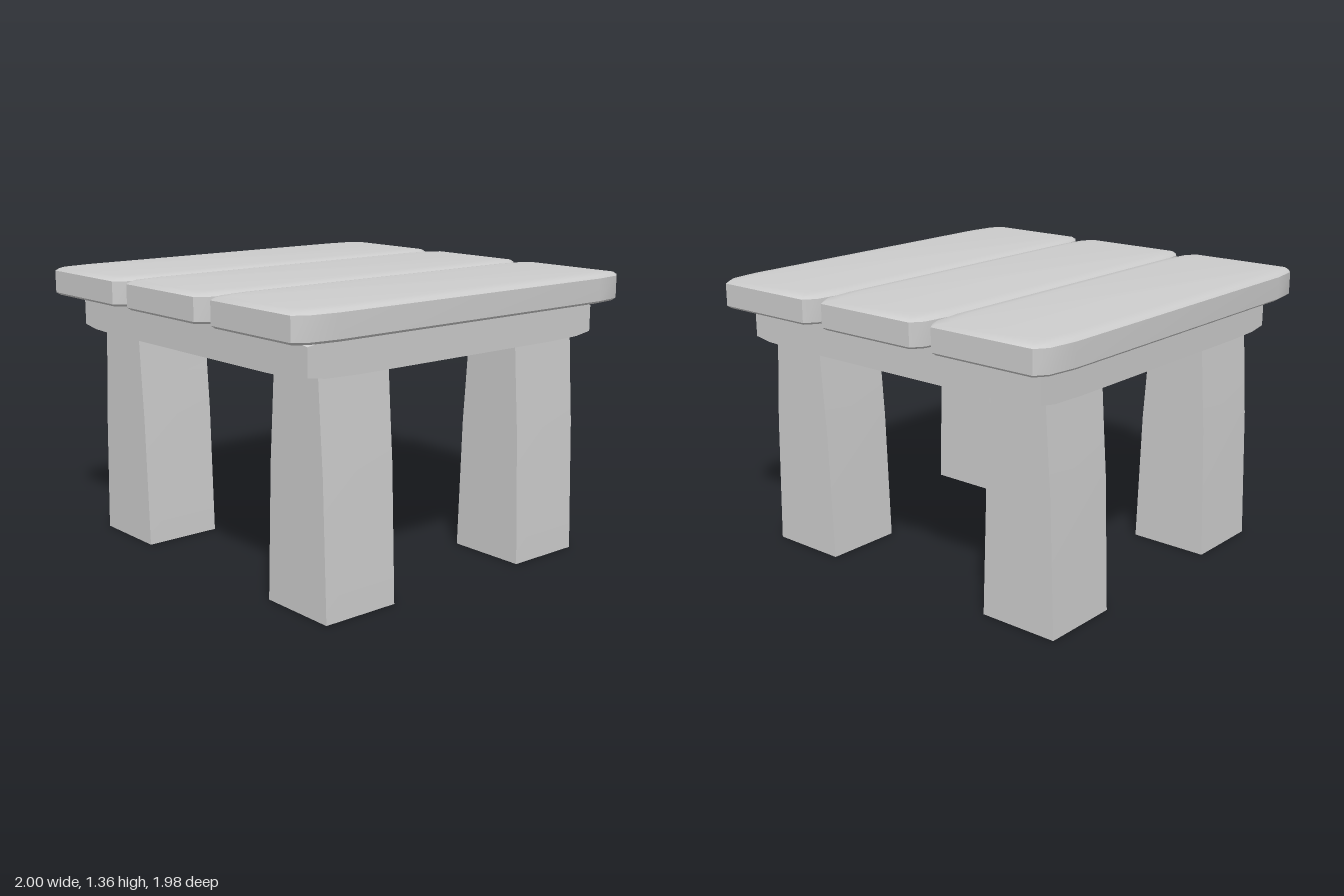
import * as THREE from 'three';
import { toCreasedNormals } from 'three/addons/utils/BufferGeometryUtils.js';

const material = new THREE.MeshStandardMaterial({ color: 0xcccccc });

// Mirrors one quarter of an outline ([x, z, extra]) into a closed ring
function mirrorQuarter(quarter) {
  const back = [...quarter].reverse();
  const flip = (list, sx, sz) => list.map(([x, z, e = 0]) => [x * sx, z * sz, e]);
  return [...flip(quarter, 1, 1), ...flip(back, -1, 1), ...flip(quarter, -1, -1), ...flip(back, 1, -1)];
}

// Skins rings of [x, y, z], listed bottom to top, and caps both ends
function loft(rings, crease) {
  const n = rings[0].length;
  const positions = rings.flat(2);
  const index = [];
  for (let i = 0; i < rings.length - 1; i++) {
    for (let j = 0; j < n; j++) {
      const k = (j + 1) % n;
      const a = i * n + j, b = i * n + k, c = a + n, d = b + n;
      index.push(a, c, b, b, c, d);
    }
  }
  const last = (rings.length - 1) * n;
  for (let j = 1; j < n - 1; j++) {
    index.push(0, j, j + 1);
    index.push(last, last + j + 1, last + j);
  }
  const geometry = new THREE.BufferGeometry();
  geometry.setAttribute('position', new THREE.Float32BufferAttribute(positions, 3));
  geometry.setIndex(index);
  return toCreasedNormals(geometry, crease);
}

function part(name, geometry) {
  const mesh = new THREE.Mesh(geometry, material);
  mesh.name = name;
  return mesh;
}

// Plank with clipped corners and softly rounded top and bottom edges
function plankGeometry() {
  const hx = 1, hz = 0.327;
  const outline = mirrorQuarter([[1, 0.268], [0.945, 0.308], [0.8, 0.327]]);
  const levels = [[1.22, 0.06], [1.226, 0.015], [1.238, 0], [1.345, 0], [1.357, 0.015], [1.363, 0.06]];
  return loft(levels.map(([y, inset]) =>
    outline.map(([x, z]) => [x * (1 - inset / hx), y, z * (1 - inset / hz)])), 0.6);
}

// Square slab whose top and bottom faces drop away at the corners
function frameGeometry() {
  const side = mirrorQuarter([
    [0.875, 0.6, 0], [0.875, 0.78, 0.005], [0.875, 0.875, 0.02], [0.78, 0.875, 0.005], [0.6, 0.875, 0]]);
  const cap = mirrorQuarter([[0.87, 0.6], [0.845, 0.74], [0.8, 0.8], [0.74, 0.845], [0.6, 0.87]]);
  const bottom = 1.055, top = 1.22;
  return loft([
    cap.map(([x, z]) => [x, bottom, z]),
    side.map(([x, z, drop]) => [x, bottom + drop, z]),
    side.map(([x, z, drop]) => [x, top - drop, z]),
    cap.map(([x, z]) => [x, top, z]),
  ], 0.4);
}

// Leg of constant width whose depth tapers towards the top
function legGeometry() {
  const levels = [[0, 0.198], [0.64, 0.176], [0.85, 0.161], [1.06, 0.147]];
  return loft(levels.map(([y, hz]) =>
    mirrorQuarter([[0.194, hz]]).map(([x, z]) => [x, y, z])), 0.3);
}

export function createModel() {
  const group = new THREE.Group();
  group.name = 'plankTable';

  const plank = plankGeometry();
  ['backPlank', 'middlePlank', 'frontPlank'].forEach((name, i) => {
    const mesh = part(name, plank);
    mesh.position.z = (i - 1) * 0.662;
    group.add(mesh);
  });

  const frame = part('underFrame', frameGeometry());
  frame.position.z = 0.004;
  group.add(frame);

  const leg = legGeometry();
  for (const [end, z] of [['front', 0.688], ['back', -0.677]]) {
    for (const [hand, x] of [['Left', 0.59], ['Right', -0.59]]) {
      const mesh = part(`${end}${hand}Leg`, leg);
      mesh.position.set(x, 0, z);
      group.add(mesh);
    }
  }
  return group;
}
